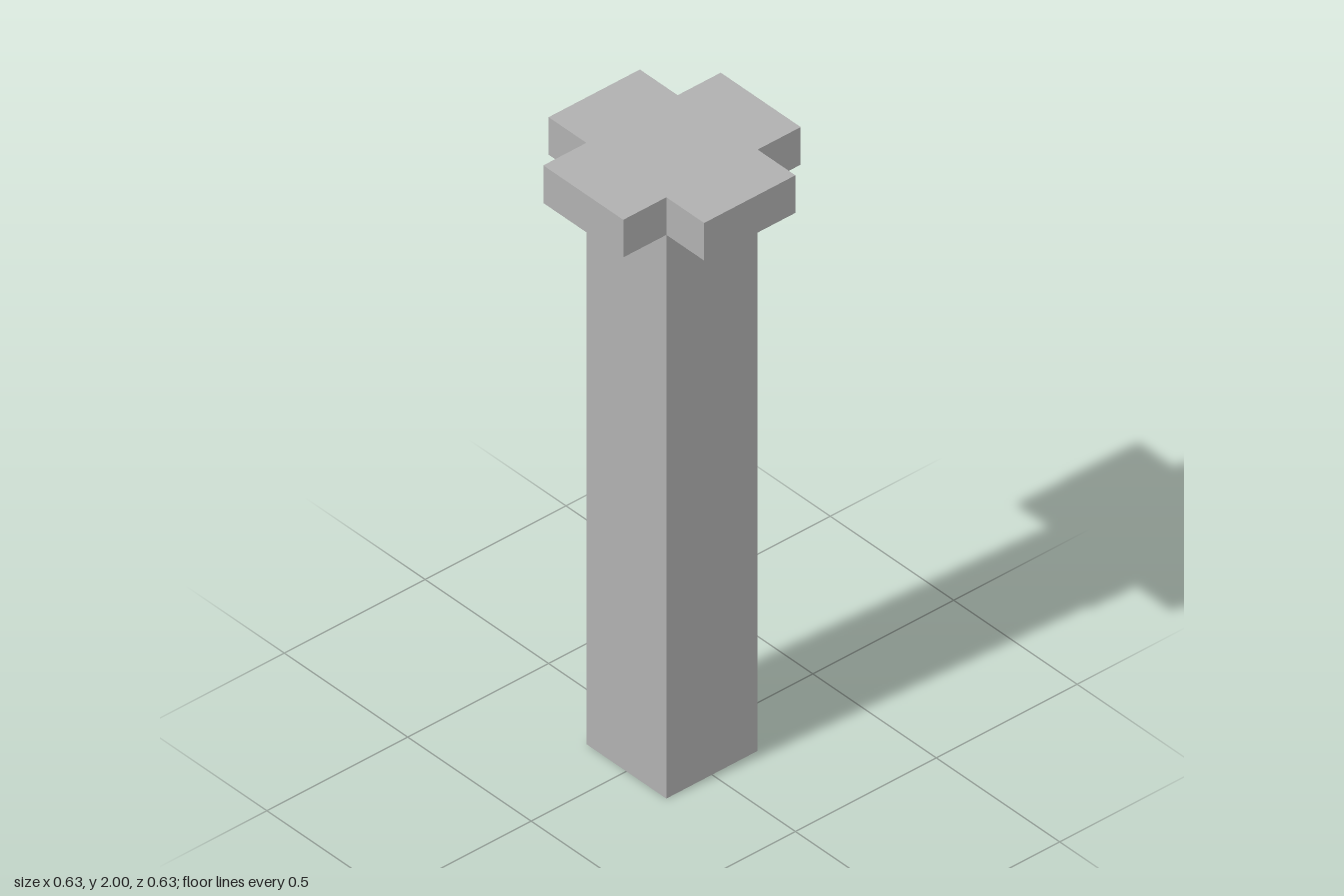
import * as THREE from 'three';

const SHAFT = 0.162;      // half width of the shaft and of each arm
const REACH = 0.315;      // distance from the axis to an arm's end
const CAP_BOTTOM = 1.875;
const TOP = 2;

export function createModel() {
  const model = new THREE.Group();
  model.name = 'crossHeadPost';

  const grey = new THREE.MeshStandardMaterial({ color: 0xb0b0b0 });
  grey.name = 'grey';

  // Square shaft
  const shaft = new THREE.Mesh(new THREE.BoxGeometry(SHAFT * 2, CAP_BOTTOM, SHAFT * 2), grey);
  shaft.name = 'shaft';
  shaft.position.y = CAP_BOTTOM / 2;
  model.add(shaft);

  // Cross-shaped cap: one arm's three corners, turned four times about the axis
  const outline = [];
  for (let i = 0; i < 4; i++) {
    for (const [x, y] of [[REACH, -SHAFT], [REACH, SHAFT], [SHAFT, SHAFT]]) {
      outline.push(new THREE.Vector2(x, y).rotateAround(new THREE.Vector2(), i * Math.PI / 2));
    }
  }
  const capGeometry = new THREE.ExtrudeGeometry(new THREE.Shape(outline), {
    depth: TOP - CAP_BOTTOM,
    bevelEnabled: false,
  });
  capGeometry.rotateX(-Math.PI / 2);
  const cap = new THREE.Mesh(capGeometry, grey);
  cap.name = 'crossCap';
  cap.position.y = CAP_BOTTOM;
  model.add(cap);

  return model;
}
